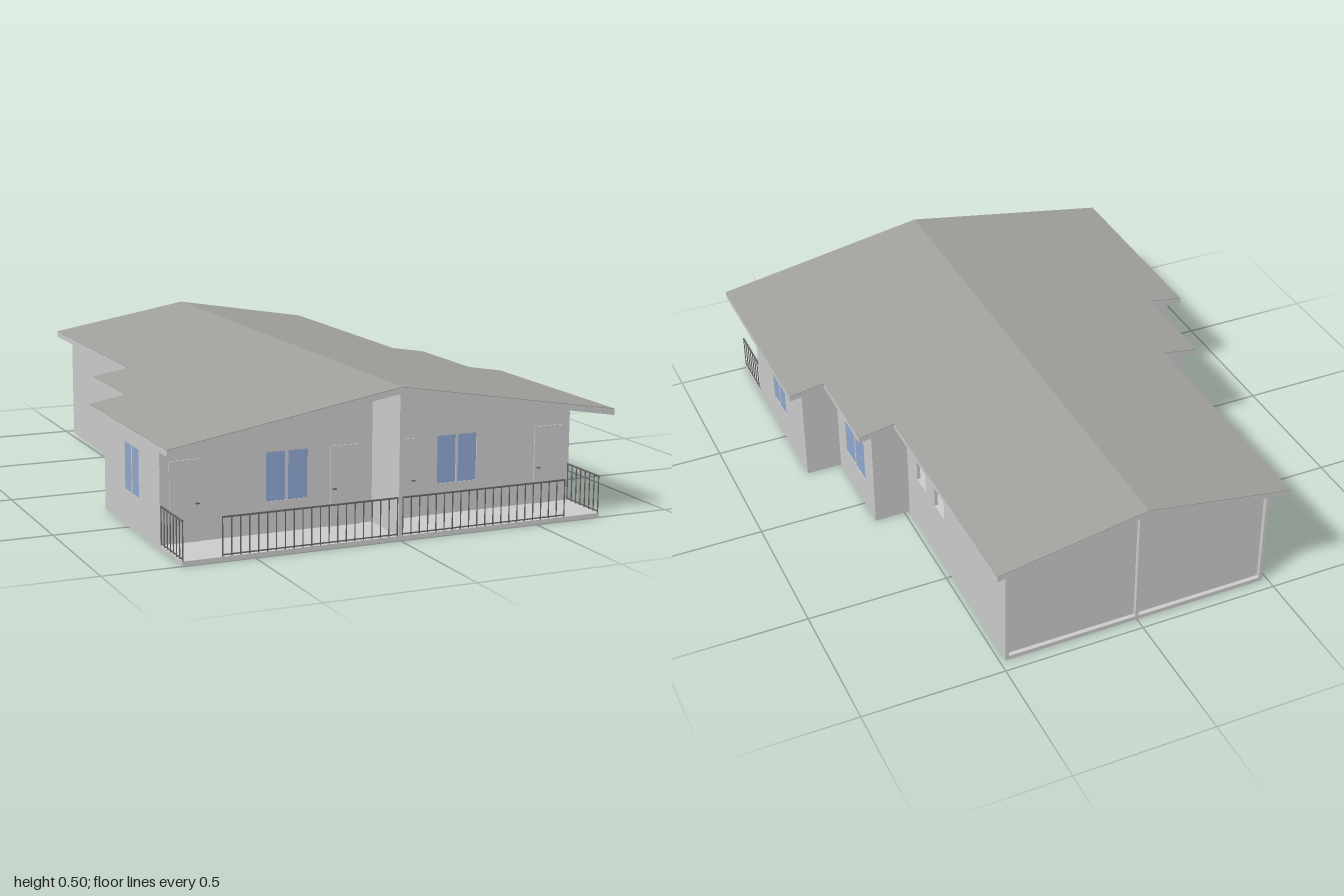
import * as THREE from 'three';

const wallMat = new THREE.MeshStandardMaterial({ name: 'light grey wall', color: 0xcccccc });
const roofMat = new THREE.MeshStandardMaterial({ name: 'grey roof', color: 0xa0a09c });
const glassMat = new THREE.MeshStandardMaterial({ name: 'blue glass', color: 0x90a8d2 });
const railMat = new THREE.MeshStandardMaterial({ name: 'dark railing', color: 0x666666 });

const T = 0.012; // wall thickness
const SLOPE = 0.169, RIDGE = 0.5, ROOF = 0.022;
const roofTop = (x) => RIDGE - SLOPE * Math.abs(x);
const ceiling = (x) => roofTop(x) - ROOF;

// Plan sections: wall half width, wall z range, roof z range
const sections = [
  { x: 0.74, z0: 0.25, z1: 0.8, r0: 0.24, r1: 1 },
  { x: 0.61, z0: -0.11, z1: 0.25, r0: -0.12, r1: 0.24 },
  { x: 0.48, z0: -0.955, z1: -0.11, r0: -1, r1: -0.12 },
];
const EAVE = 0.047;

function box(parent, name, mat, x0, x1, y0, y1, z0, z1) {
  const m = new THREE.Mesh(new THREE.BoxGeometry(x1 - x0, y1 - y0, z1 - z0), mat);
  m.position.set((x0 + x1) / 2, (y0 + y1) / 2, (z0 + z1) / 2);
  m.name = name;
  parent.add(m);
  return m;
}

// Flat panel from an outline with rectangular openings [u0, u1, y0, y1]
function panel(parent, name, mat, points, depth, holes = []) {
  const shape = new THREE.Shape(points.map(([u, y]) => new THREE.Vector2(u, y)));
  for (const [a, b, c, d] of holes) {
    shape.holes.push(new THREE.Path([[a, c], [a, d], [b, d], [b, c]].map(([u, y]) => new THREE.Vector2(u, y))));
  }
  const m = new THREE.Mesh(new THREE.ExtrudeGeometry(shape, { depth, bevelEnabled: false }), mat);
  m.name = name;
  parent.add(m);
  return m;
}

// Two-pane window filling an opening, lying in local x/y
function twoPaneWindow([a, b, c, d]) {
  const g = new THREE.Group();
  g.name = 'window';
  const f = 0.004, mid = (a + b) / 2;
  box(g, 'glass', glassMat, a, b, c, d, 0.003, 0.009);
  box(g, 'frameSide', wallMat, a, a + f, c, d, 0, T);
  box(g, 'frameSide', wallMat, b - f, b, c, d, 0, T);
  box(g, 'frameBottom', wallMat, a, b, c, c + f, 0, T);
  box(g, 'frameTop', wallMat, a, b, d - f, d, 0, T);
  box(g, 'mullion', wallMat, mid - f, mid + f, c, d, 0, T);
  return g;
}

// Railing along local x, with evenly spaced balusters
function railing(name, length) {
  const g = new THREE.Group();
  g.name = name;
  const h = 0.0015, top = 0.143;
  box(g, 'topRail', railMat, 0, length, top - 0.005, top, -0.0025, 0.0025);
  box(g, 'bottomRail', railMat, 0, length, 0.019, 0.023, -h, h);
  const n = Math.round(length / 0.03);
  for (let i = 0; i <= n; i++) {
    const x = h + (i / n) * (length - 2 * h);
    box(g, 'baluster', railMat, x - h, x + h, 0.015, top, -h, h);
  }
  return g;
}

export function createModel() {
  const house = new THREE.Group();
  house.name = 'house';

  // Stepped floor slab including the front porch
  for (const s of sections) {
    const front = s.z1 === 0.8 ? 0.998 : s.z1;
    box(house, 'floorSlab', wallMat, -s.x, s.x, 0, 0.015, s.z0, front);
  }

  // Gabled front and back walls
  const gable = (x) => [[-x, 0], [x, 0], [x, ceiling(x)], [0, ceiling(0)], [-x, ceiling(x)]];
  const frontWindows = [[-0.385, -0.23, 0.115, 0.285], [0.23, 0.385, 0.115, 0.285]];
  panel(house, 'frontWall', wallMat, gable(0.74), T, frontWindows).position.z = 0.8 - T;
  for (const w of frontWindows) {
    const win = twoPaneWindow(w);
    win.position.z = 0.8 - T;
    house.add(win);
  }
  panel(house, 'backWall', wallMat, gable(0.475), T).position.z = -0.94;

  // Side walls, outline in u = -z; the rear section has plain openings
  const glazed = [[[-0.605, -0.46, 0.115, 0.285]], [[-0.173, 0.027, 0.115, 0.285]], []];
  const open = [[0.2, 0.28, 0.21, 0.29], [0.36, 0.445, 0.21, 0.29]];
  sections.forEach((s, i) => {
    const h = ceiling(s.x);
    const outline = [[-s.z1, 0], [-s.z0, 0], [-s.z0, h], [-s.z1, h]];
    for (const x of [s.x - T, -s.x]) {
      const side = new THREE.Group();
      side.name = 'sideWall';
      panel(side, 'wall', wallMat, outline, T, i === 2 ? open : glazed[i]);
      for (const w of glazed[i]) side.add(twoPaneWindow(w));
      side.rotation.y = Math.PI / 2;
      side.position.x = x;
      house.add(side);
    }
  });

  // Short return walls where the plan steps in
  for (let i = 0; i < 2; i++) {
    const a = sections[i + 1].x - T, b = sections[i].x;
    for (const k of [1, -1]) {
      let pts = [[a, 0], [b, 0], [b, ceiling(b)], [a, ceiling(a)]].map(([x, y]) => [k * x, y]);
      panel(house, 'returnWall', wallMat, pts, T).position.z = sections[i].z0;
    }
  }

  // Dividing wall between the two homes, running out to the porch edge
  box(house, 'dividingWall', wallMat, -0.006, 0.006, 0, ceiling(0), -0.955, 0.998);

  // Roof deck and its thin covering
  const chevron = (w, lo, hi) => [
    [-w, roofTop(w) - lo], [0, RIDGE - lo], [w, roofTop(w) - lo],
    [w, roofTop(w) - hi], [0, RIDGE - hi], [-w, roofTop(w) - hi],
  ];
  for (const s of sections) {
    const w = s.x + EAVE, len = s.r1 - s.r0;
    panel(house, 'roofDeck', wallMat, chevron(w, ROOF, 0.002), len).position.z = s.r0;
    panel(house, 'roofCovering', roofMat, chevron(w, 0.002, 0), len).position.z = s.r0;
  }

  // Doors with small handles, and railings, mirrored for both homes
  for (const k of [1, -1]) {
    for (const [a, b, grip] of [[0.05, 0.155, 0.143], [0.603, 0.709, 0.617]]) {
      const x = (k * (a + b)) / 2, w = (b - a) / 2;
      box(house, 'door', wallMat, x - w, x + w, 0.015, 0.282, 0.799, 0.804);
      box(house, 'doorHandle', railMat, k * grip - 0.006, k * grip + 0.006, 0.138, 0.142, 0.803, 0.812);
    }
    const frontRail = railing('frontRailing', 0.6);
    frontRail.position.set(k > 0 ? 0.008 : -0.608, 0, 0.995);
    const sideRail = railing('sideRailing', 0.196);
    sideRail.rotation.y = Math.PI / 2;
    sideRail.position.set(k * 0.737, 0, 0.997);
    house.add(frontRail, sideRail);
  }

  return house;
}
